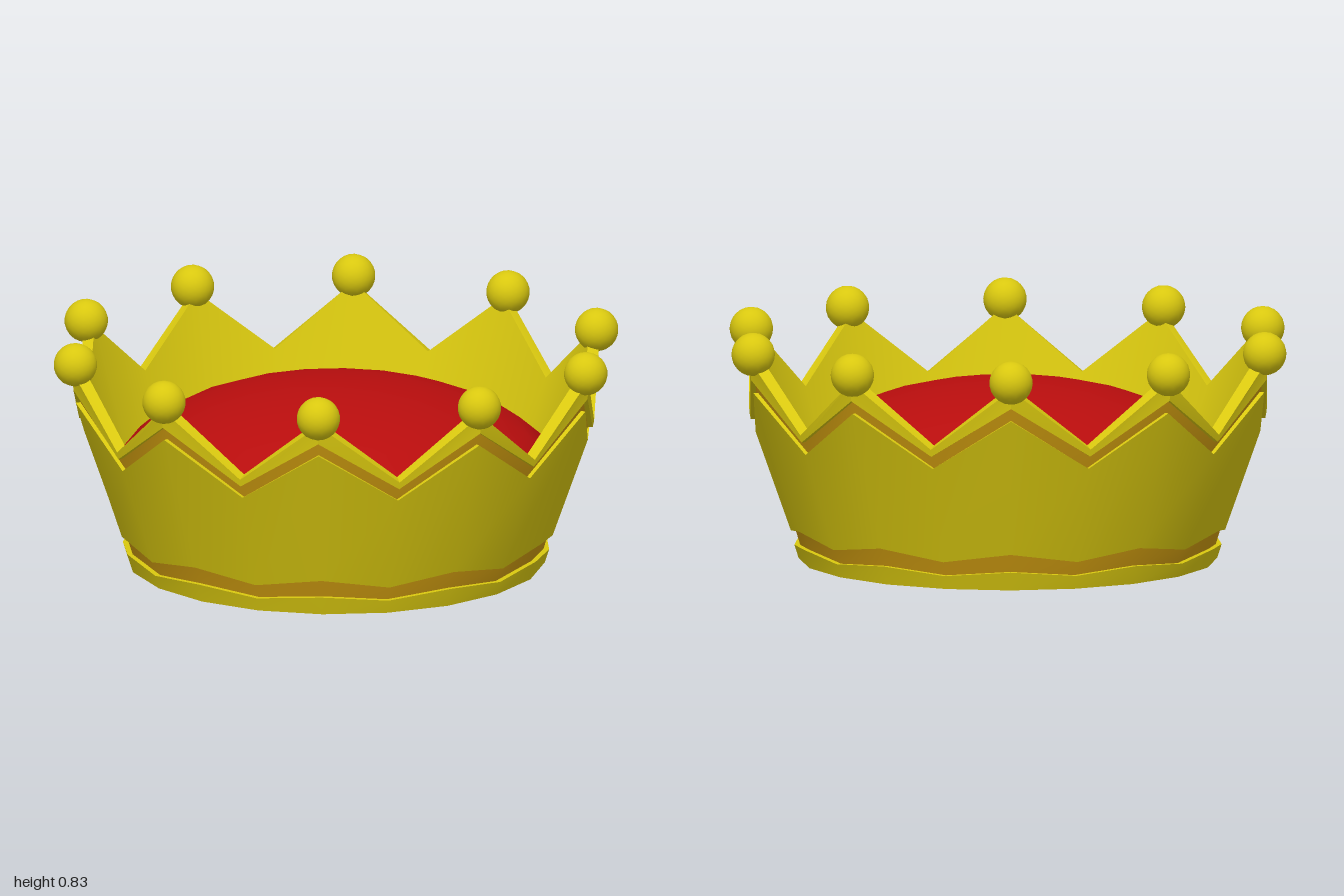
import * as THREE from 'three';
import { toCreasedNormals } from 'three/addons/utils/BufferGeometryUtils.js';

const SIDES = 20; // peaks on even columns, valleys on odd ones
const gold = new THREE.MeshStandardMaterial({ color: 0xd9c80f, side: THREE.DoubleSide });
const amber = new THREE.MeshStandardMaterial({ color: 0xc8960f, side: THREE.DoubleSide });
const red = new THREE.MeshStandardMaterial({ color: 0xb80d0d });

// Sweeps a profile round the axis, switching between its peak and valley form.
// Each row is [peakRadius, peakY, valleyRadius, valleyY].
function zigzagBand(name, rows, material) {
  const pos = [], index = [];
  for (let k = 0; k < SIDES; k++) {
    const a = (k / SIDES) * Math.PI * 2, o = (k % 2) * 2;
    for (const row of rows) pos.push(row[o] * Math.sin(a), row[o + 1], row[o] * Math.cos(a));
  }
  const n = rows.length;
  for (let k = 0; k < SIDES; k++) {
    for (let j = 0; j < n - 1; j++) {
      const a = k * n + j, b = ((k + 1) % SIDES) * n + j;
      index.push(a, b, b + 1, a, b + 1, a + 1);
    }
  }
  const g = new THREE.BufferGeometry();
  g.setAttribute('position', new THREE.Float32BufferAttribute(pos, 3));
  g.setIndex(index);
  const mesh = new THREE.Mesh(toCreasedNormals(g, 0.5), material);
  mesh.name = name;
  return mesh;
}

export function createModel() {
  const crown = new THREE.Group();
  crown.name = 'crown';

  // Profile corners shared by neighbouring bands
  const rimInner = [0.895, 0.74, 0.853, 0.52];
  const rimOuter = [0.935, 0.73, 0.89, 0.51];
  const rimLip = [0.932, 0.665, 0.885, 0.485];
  const rimRecess = [0.915, 0.665, 0.868, 0.485];
  const wallTopRecess = [0.907, 0.62, 0.852, 0.44];
  const wallTop = [0.924, 0.62, 0.868, 0.44];
  const wallBottom = [0.76, 0.13, 0.747, 0.097];
  const wallBottomRecess = [0.742, 0.13, 0.73, 0.097];
  const baseRecess = [0.722, 0.065, 0.715, 0.047];
  const baseLip = [0.74, 0.065, 0.735, 0.047];
  const baseOuter = [0.72, 0, 0.72, 0];
  const baseInner = [0.685, 0, 0.685, 0];

  // Gold shell
  crown.add(
    zigzagBand('innerWall', [rimInner, baseInner], gold),
    zigzagBand('baseRing', [baseInner, baseOuter, baseLip, baseRecess], gold),
    zigzagBand('outerWall', [wallBottomRecess, wallBottom, wallTop, wallTopRecess], gold),
    zigzagBand('pointedRim', [rimRecess, rimLip, rimOuter, rimInner], gold)
  );

  // Recessed amber trims
  crown.add(
    zigzagBand('lowerTrim', [baseRecess, wallBottomRecess], amber),
    zigzagBand('upperTrim', [wallTopRecess, rimRecess], amber)
  );

  // Ball on each point
  const ballGeometry = new THREE.IcosahedronGeometry(0.075, 3);
  for (let k = 0; k < SIDES; k += 2) {
    const a = (k / SIDES) * Math.PI * 2;
    const ball = new THREE.Mesh(ballGeometry, gold);
    ball.name = 'pointBall';
    ball.position.set(0.925 * Math.sin(a), 0.755, 0.925 * Math.cos(a));
    crown.add(ball);
  }

  // Domed cushion with a flat underside
  const profile = [new THREE.Vector2(0, 0.26)];
  for (let i = 0; i <= 8; i++) {
    const t = (i / 8) * Math.PI / 2;
    profile.push(new THREE.Vector2(i === 8 ? 0 : 0.785 * Math.cos(t), 0.26 + 0.36 * Math.sin(t)));
  }
  const cushion = new THREE.Mesh(toCreasedNormals(new THREE.LatheGeometry(profile, SIDES), 0.7), red);
  cushion.name = 'cushion';
  crown.add(cushion);

  return crown;
}
